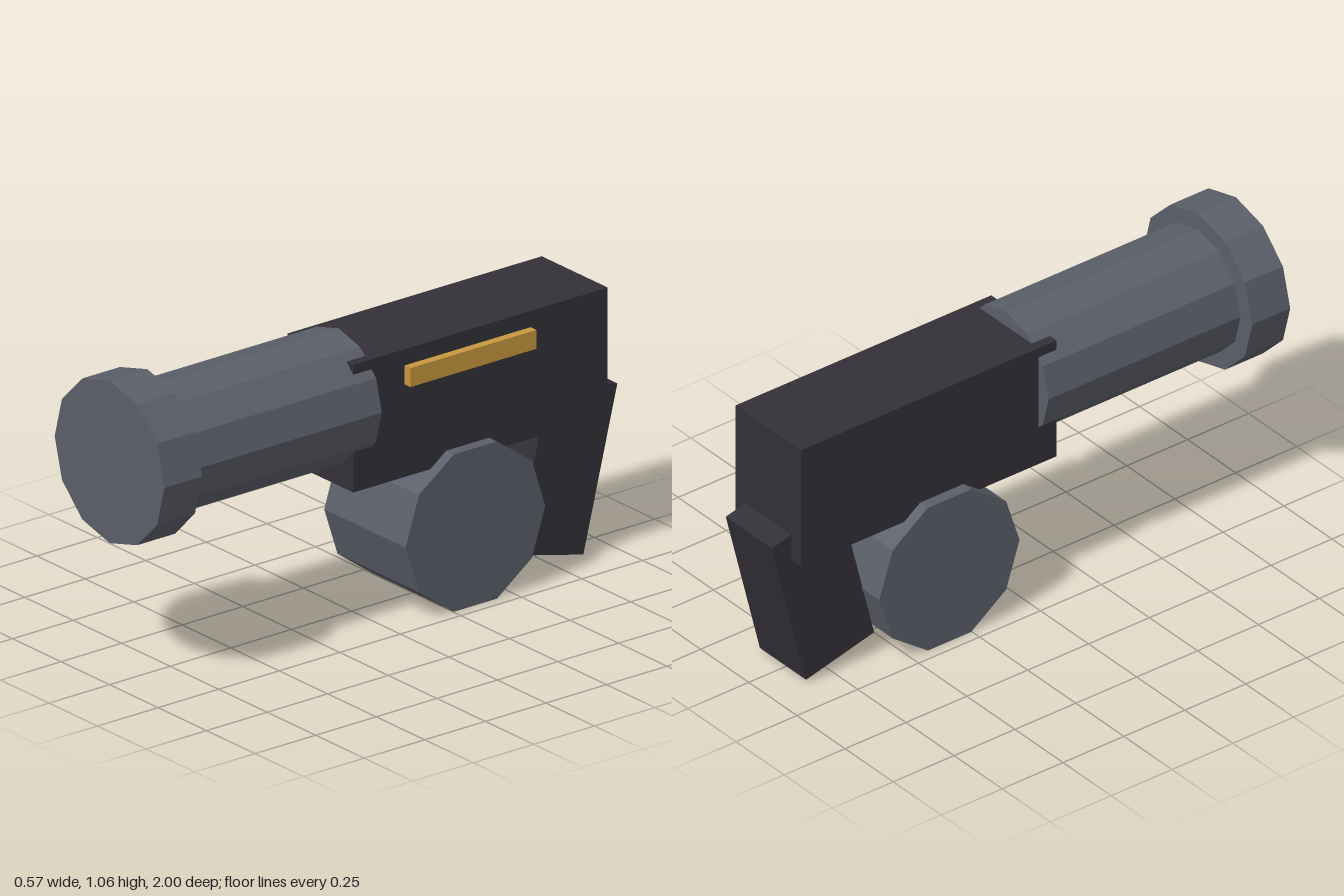
import * as THREE from 'three';

export function createModel() {
  const steel = new THREE.MeshStandardMaterial({ color: 0x5b5f69, flatShading: true });
  steel.name = 'steelGrey';
  const dark = new THREE.MeshStandardMaterial({ color: 0x333137, flatShading: true });
  dark.name = 'darkFrame';
  const gold = new THREE.MeshStandardMaterial({ color: 0xc8973f, flatShading: true });
  gold.name = 'goldTrim';

  const model = new THREE.Group();
  model.name = 'launcher';

  const add = (name, geometry, material, x, y, z) => {
    const mesh = new THREE.Mesh(geometry, material);
    mesh.name = name;
    mesh.position.set(x, y, z);
    model.add(mesh);
    return mesh;
  };
  const box = (w, h, d) => new THREE.BoxGeometry(w, h, d);
  const cylinder = (r, length, sides) => new THREE.CylinderGeometry(r, r, length, sides);

  // Receiver block
  add('receiver', box(0.34, 0.445, 1.05), dark, 0, 0.724, -0.395);

  // Twelve-sided barrel and wider muzzle ring, pointing to +z
  add('barrel', cylinder(0.223, 0.8, 12).rotateX(Math.PI / 2), steel, 0, 0.777, 0.455);
  add('muzzle', cylinder(0.283, 0.156, 12).rotateX(Math.PI / 2), steel, 0, 0.777, 0.922);

  // Ten-sided drum magazine lying across the body
  add('drum', cylinder(0.288, 0.42, 10).rotateZ(Math.PI / 2), steel, 0, 0.275, -0.342);

  // Slanted grip
  add('grip', box(0.24, 0.578, 0.288), dark, 0, 0.331, -0.79).rotation.x = -0.245;

  // Trim strip on the left side only
  add('sideStrip', box(0.03, 0.066, 0.52), gold, 0.185, 0.857, -0.342);

  return model;
}
